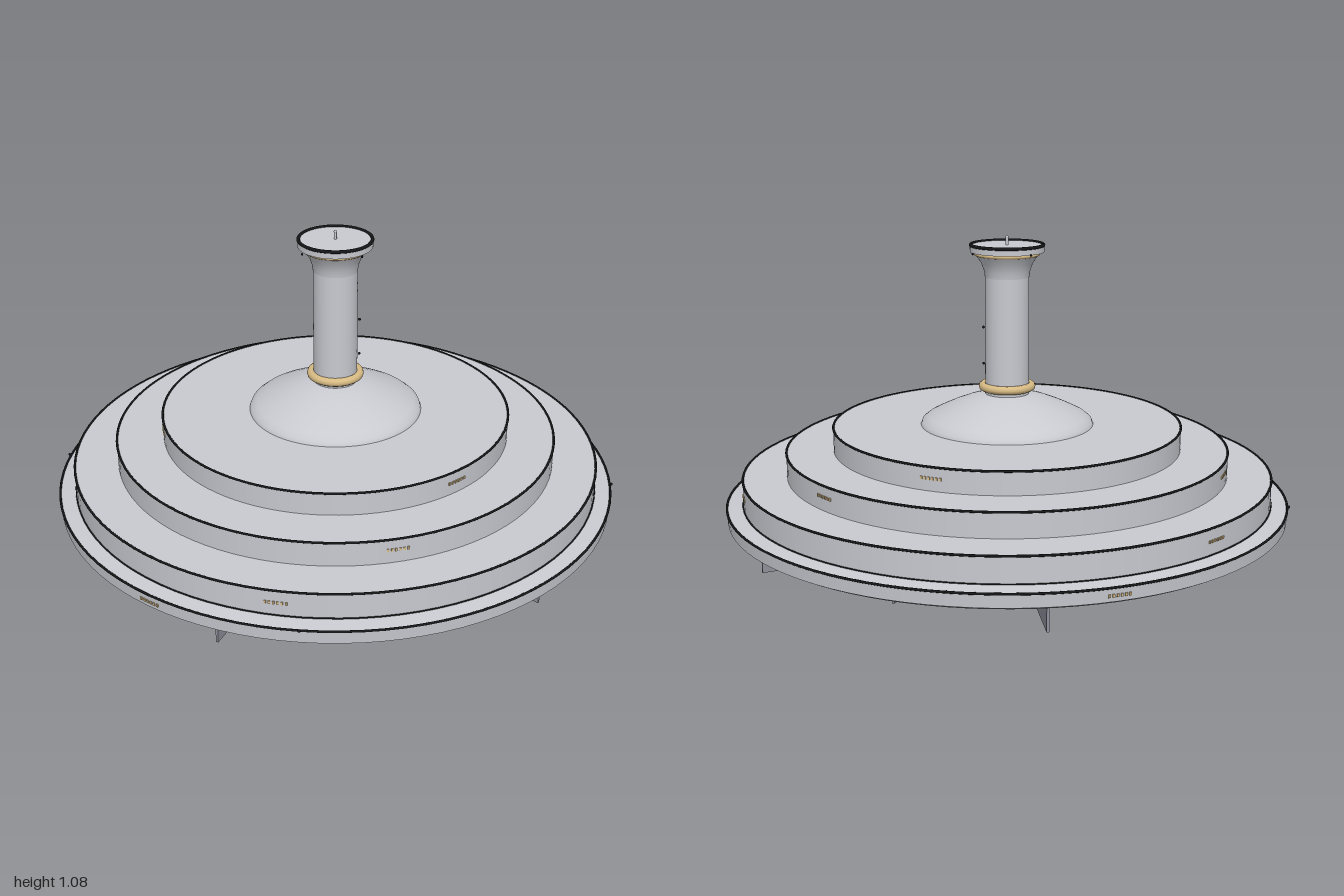
import * as THREE from 'three';

const mat = (name, color, extra = {}) => {
  const m = new THREE.MeshStandardMaterial({ color, ...extra });
  m.name = name;
  return m;
};

export function createModel() {
  const model = new THREE.Group();
  const hull = mat('hull grey', 0xc8cad0);
  const finGrey = mat('fin grey', 0x90929c);
  const gold = mat('gold', 0xd9bc85);
  const black = mat('black', 0x151517);

  const add = (name, geo, material, x = 0, y = 0, z = 0, parent = model) => {
    const m = new THREE.Mesh(geo, material);
    m.name = name;
    m.position.set(x, y, z);
    parent.add(m);
    return m;
  };
  const lathe = (name, pts, material) =>
    add(name, new THREE.LatheGeometry(pts.map(p => new THREE.Vector2(...p)), 96), material);
  const ring = (name, r, tube, y, material) =>
    add(name, new THREE.TorusGeometry(r, tube, 10, 96).rotateX(Math.PI / 2), material, 0, y, 0);
  const dot = (name, x, y, z, r = 0.005, material = black) =>
    add(name, new THREE.SphereGeometry(r, 10, 8), material, x, y, z);

  // Base rim: flat underside, small chamfer, upright edge, gently sloped top
  add('underside', new THREE.CircleGeometry(0.97, 96).rotateX(Math.PI / 2), hull, 0, 0.102, 0);
  lathe('rimChamfer', [[0.97, 0.102], [0.988, 0.112]], hull);
  lathe('rimEdge', [[0.988, 0.112], [0.991, 0.155]], hull);
  lathe('rimTop', [[0.991, 0.155], [0.93, 0.165]], hull);
  ring('rimTrim', 0.99, 0.004, 0.157, black);

  // Stepped tiers with dark trim along each top edge
  const tiers = [[0.932, 0.15, 0.253], [0.779, 0.25, 0.338], [0.614, 0.335, 0.418]];
  tiers.forEach(([r, y0, y1], i) => {
    add('tier' + (i + 1), new THREE.CylinderGeometry(r, r, y1 - y0, 96), hull, 0, (y0 + y1) / 2, 0);
    ring('tierTrim' + (i + 1), r, 0.004, y1, black);
  });
  ring('tierBaseTrim', 0.933, 0.003, 0.164, black);

  // Dome under the column
  lathe('dome', [[0.305, 0.418], [0.3, 0.432], [0.28, 0.448], [0.245, 0.466], [0.2, 0.487],
    [0.15, 0.507], [0.1, 0.523], [0.05, 0.531], [0, 0.533]], hull);

  // Column with flared head
  lathe('column', [[0.077, 0.5], [0.077, 0.7], [0.077, 0.94]], hull);
  lathe('columnFlare', [[0.077, 0.94], [0.08, 0.962], [0.09, 0.99], [0.105, 1.012], [0.112, 1.025]], hull);
  ring('columnCollar', 0.085, 0.015, 0.553, gold);
  ring('headCollar', 0.108, 0.007, 1.022, gold);
  add('headPlate', new THREE.CylinderGeometry(0.129, 0.129, 0.024, 64), hull, 0, 1.04, 0);
  ring('headTrim', 0.126, 0.006, 1.052, black);

  // Antenna and small marker lights
  add('antenna', new THREE.CylinderGeometry(0.005, 0.005, 0.03, 12), hull, 0, 1.065, 0);
  dot('antennaTip', 0, 1.078, 0, 0.006, hull);
  [0.63, 0.76].forEach(y => dot('columnLight', 0.084, y, 0));
  for (let i = 0; i < 4; i++) {
    const a = i * Math.PI / 2, b = a + Math.PI / 4;
    dot('rimLight', 0.995 * Math.cos(a), 0.16, 0.995 * Math.sin(a));
    dot('headLight', 0.142 * Math.cos(b), 1.03, 0.142 * Math.sin(b), 0.004);
  }
  dot('centreLight', 0, 0.101, 0);
  dot('bellyLight', -0.6, 0.101, 0);

  // Rows of tiny windows, three rows around each level: radius, height, first angle
  [[0.99, 0.132, 120], [0.932, 0.21, 95], [0.779, 0.3, 69], [0.614, 0.38, 43]].forEach(([r, y, deg]) => {
    for (let k = 0; k < 3; k++) {
      const row = new THREE.Group();
      row.name = 'windowRow';
      for (let j = 0; j < 6; j++) {
        const a = THREE.MathUtils.degToRad(deg + k * 120) + (j - 2.5) * 0.0135 / r;
        const w = add('window', new THREE.BoxGeometry(0.006, 0.01, 0.007), gold,
          r * Math.cos(a), y, r * Math.sin(a), row);
        w.rotation.y = -a;
      }
      model.add(row);
    }
  });

  // Ten radial fins, alternating between an inner and an outer ring
  for (let i = 0; i < 10; i++) {
    const a = i * Math.PI / 5, r = i % 2 ? 0.81 : 0.66;
    const fin = add('fin', new THREE.BoxGeometry(0.2, 0.105, 0.008), finGrey,
      r * Math.cos(a), 0.0525, r * Math.sin(a));
    fin.rotation.y = -a;
  }
  return model;
}
